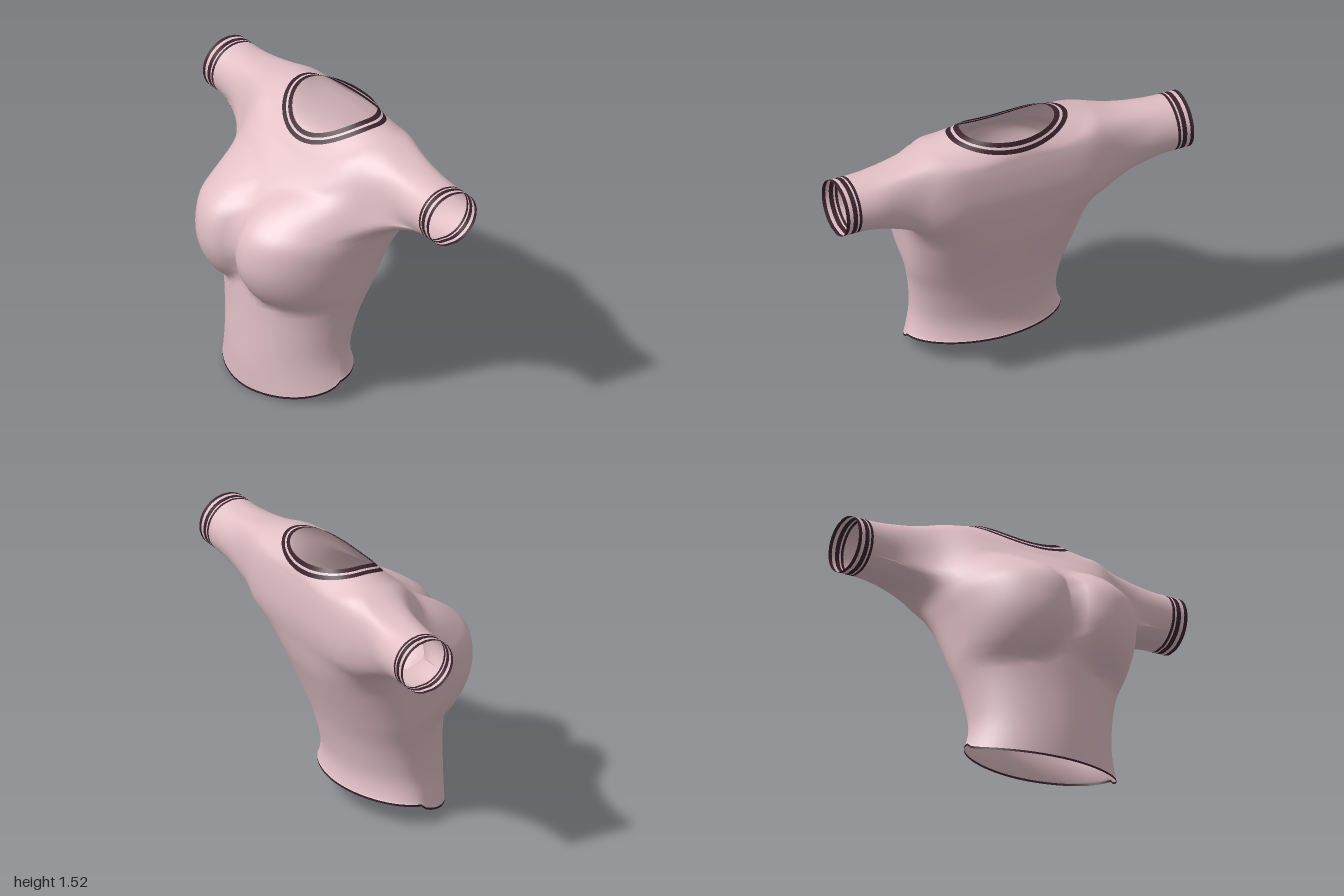
import * as THREE from 'three';
import { mergeGeometries, mergeVertices } from 'three/addons/utils/BufferGeometryUtils.js';

const N = 64;      // points around the torso
const SUB = 4;     // rows between two key sections
const ARM_LOW = 7 * SUB, ARM_TOP = 10 * SUB;
// Armholes: side, torso column, and columns spanned (four to the front, five to the back)
const ARMS = [
  { name: 'left', side: 1, centre: 0, from: -5, to: 4 },
  { name: 'right', side: -1, centre: N / 2, from: -4, to: 5 },
];

// Torso sections: front y, side y, back y, half width, front z, side z, back z,
// front roundness, back roundness, power of the height change around the ring
const SECTIONS = [
  [0.00, 0.11, 0.13, 0.435, 0.36, 0.04, -0.22, 1.05, 1.05, 0.65],
  [0.18, 0.25, 0.25, 0.405, 0.365, 0.03, -0.205, 1.05, 1.05, 1.3],
  [0.42, 0.44, 0.44, 0.425, 0.355, 0.005, -0.245, 1.02, 1, 2],
  [0.55, 0.60, 0.60, 0.465, 0.352, -0.03, -0.30, 0.98, 0.95, 2],
  [0.70, 0.74, 0.74, 0.49, 0.35, -0.06, -0.355, 0.95, 0.88, 2],
  [0.85, 0.87, 0.87, 0.515, 0.35, -0.09, -0.405, 0.95, 0.8, 2],
  [1.00, 0.97, 1.00, 0.545, 0.34, -0.14, -0.44, 0.95, 0.63, 2],
  [1.10, 1.03, 1.10, 0.58, 0.29, -0.20, -0.465, 1, 0.45, 2],
  [1.20, 1.18, 1.20, 0.60, 0.182, -0.26, -0.477, 0.9, 0.4, 2],
  [1.27, 1.34, 1.32, 0.58, 0.10, -0.27, -0.474, 0.8, 0.4, 2],
  [1.31, 1.455, 1.39, 0.53, 0.055, -0.27, -0.465, 0.85, 0.5, 2],
  [1.345, 1.482, 1.42, 0.43, 0.025, -0.27, -0.46, 0.95, 0.8, 2],
  [1.367, 1.505, 1.438, 0.335, 0.005, -0.27, -0.455, 1, 1, 2],
];
const NECK_EDGE = [1.415, 1.522, 1.5, 0.26, -0.035, -0.265, -0.432, 1, 1, 2];

const mix = (a, b, t) => a.map((v, i) => v + (b[i] - v) * t);

// Smooth interpolation through the key sections
function sectionAt(u) {
  const last = SECTIONS.length - 1;
  const k = Math.min(Math.floor(u), last - 1), t = u - k;
  const [p, q, r, s] = [k - 1, k, k + 1, k + 2].map(
    (i) => SECTIONS[THREE.MathUtils.clamp(i, 0, last)]);
  return q.map((v, i) => v + 0.5 * t * (r[i] - p[i]
    + t * (2 * p[i] - 5 * v + 4 * r[i] - s[i] + t * (3 * (v - r[i]) + s[i] - p[i]))));
}

// Forward swell of the chest
function chestSwell(x, y) {
  const dx = Math.abs(Math.abs(x) - 0.29) / 0.31;
  const dy = (y - 0.85) / (y < 0.85 ? 0.29 : 0.36);
  return 0.162 * Math.max(0, 1 - dx ** 2.5 - dy * dy) ** 0.8;
}

// One closed loop of points around the torso
function ring([yF, yS, yB, hw, zF, zS, zB, eF, eB, power], lift = 0) {
  return Array.from({ length: N }, (_, i) => {
    const a = (i / N) * Math.PI * 2, c = Math.cos(a), s = Math.abs(Math.sin(a));
    const front = i > 0 && i < N / 2, e = front ? eF : eB;
    const x = hw * Math.sign(c) * Math.abs(c) ** e;
    const y = yS + ((front ? yF : yB) - yS) * s ** power + lift;
    let z = zS + ((front ? zF : zB) - zS) * s ** e;
    if (front) z += chestSwell(x, y);
    return new THREE.Vector3(x, y, z);
  });
}

// Skin over a list of closed loops, leaving out faces where skip(row, column) holds
function skin(loops, skip = () => false) {
  const n = loops[0].length, index = [];
  for (let r = 0; r < loops.length - 1; r++) {
    for (let i = 0; i < n; i++) {
      if (skip(r, i)) continue;
      const j = (i + 1) % n;
      const a = r * n + i, b = r * n + j, c = a + n, d = b + n;
      index.push(a, c, b, b, c, d);
    }
  }
  const geometry = new THREE.BufferGeometry().setFromPoints(loops.flat());
  geometry.setIndex(index);
  geometry.computeVertexNormals();
  return geometry;
}

// Border of an armhole, running along its bottom, front or back, top, and down again
function armholeLoop(rows, { centre, from, to }) {
  const at = (r, i) => rows[r][(centre + i + N) % N].clone();
  const loop = [];
  for (let i = from; i < to; i++) loop.push(at(ARM_LOW, i));
  for (let r = ARM_LOW; r < ARM_TOP; r++) loop.push(at(r, to));
  for (let i = to; i > from; i--) loop.push(at(ARM_TOP, i));
  for (let r = ARM_TOP; r > ARM_LOW; r--) loop.push(at(r, from));
  return loop;
}

// Round sleeve section at distance x, matched point by point to the armhole
function cuffLoop(border, x) {
  return border.map((p) => {
    const a = Math.atan2(p.y - 1.25, p.z + 0.26);
    return new THREE.Vector3(x, 1.26 + 0.15 * Math.sin(a), -0.275 + 0.155 * Math.cos(a));
  });
}

function sleeveLoops(border, end) {
  const target = cuffLoop(border, end);
  return Array.from({ length: 9 }, (_, k) => {
    const t = k / 8, w = t * (2 - t);
    return border.map((p, i) => {
      const q = p.clone().lerp(target[i], w);
      q.x = p.x + (end - p.x) * t;
      return q;
    });
  });
}

// Average points with their neighbours to round the join of sleeve and torso
function softenArmholes(geometry, passes) {
  const pos = geometry.attributes.position, index = geometry.index.array;
  const near = Array.from({ length: pos.count }, () => new Set());
  for (let f = 0; f < index.length; f += 3) {
    for (let k = 0; k < 3; k++) {
      const a = index[f + k], b = index[f + (k + 1) % 3];
      near[a].add(b);
      near[b].add(a);
    }
  }
  for (let pass = 0; pass < passes; pass++) {
    const old = near.map((_, i) => new THREE.Vector3().fromBufferAttribute(pos, i));
    old.forEach((p, i) => {
      const reach = Math.hypot((Math.abs(p.x) - 0.56) / 0.2, (p.y - 1.25) / 0.32);
      if (reach >= 1 || near[i].size === 0) return;
      const mean = new THREE.Vector3();
      near[i].forEach((j) => mean.add(old[j]));
      mean.divideScalar(near[i].size);
      const q = p.clone().lerp(mean, 0.6 * Math.min(1, 2 - 2 * reach));
      pos.setXYZ(i, q.x, q.y, q.z);
    });
  }
}

export function createModel() {
  const group = new THREE.Group();
  const pink = new THREE.MeshStandardMaterial({ color: 0xe0bfc5, side: THREE.DoubleSide });
  pink.name = 'pink fabric';
  const dark = new THREE.MeshStandardMaterial({ color: 0x38222c, side: THREE.DoubleSide });
  dark.name = 'dark trim';
  const add = (name, geometry, material) => {
    const mesh = new THREE.Mesh(geometry, material);
    mesh.name = name;
    group.add(mesh);
  };

  // Torso with two armholes
  const rowCount = (SECTIONS.length - 1) * SUB + 1;
  const rows = Array.from({ length: rowCount },
    (_, r) => ring(sectionAt(r / SUB), r === 0 ? 0.012 : 0));
  const inArmhole = (r, i) => r >= ARM_LOW && r < ARM_TOP
    && ARMS.some(({ centre, from, to }) => (i - centre - from + N) % N < to - from);
  const bodyParts = [skin(rows, inArmhole)];

  // Sleeves and striped cuffs
  const cuffEdges = [0.91, 0.925, 0.935, 0.96, 0.98, 1];
  for (const arm of ARMS) {
    const border = armholeLoop(rows, arm);
    bodyParts.push(skin(sleeveLoops(border, arm.side * cuffEdges[0])));
    for (let k = 0; k < cuffEdges.length - 1; k++) {
      const loops = [k, k + 1].map((e) => cuffLoop(border, arm.side * cuffEdges[e]));
      add(`${arm.name}CuffStripe${k + 1}`, skin(loops), k % 2 ? pink : dark);
    }
  }

  // Weld torso and sleeves into one smooth body
  bodyParts.forEach((g) => g.deleteAttribute('normal'));
  const body = mergeVertices(mergeGeometries(bodyParts), 1e-4);
  softenArmholes(body, 10);
  body.computeVertexNormals();
  add('shirtBody', body, pink);

  // Hem edging
  add('hem', skin([ring(SECTIONS[0]), rows[0]]), dark);

  // Striped collar band
  const neckBase = SECTIONS[SECTIONS.length - 1];
  const collarEdges = [0, 0.38, 0.6, 1];
  for (let k = 0; k < 3; k++) {
    const loops = [k, k + 1].map((e) => ring(mix(neckBase, NECK_EDGE, collarEdges[e])));
    add(`collarStripe${k + 1}`, skin(loops), k === 1 ? pink : dark);
  }
  return group;
}
